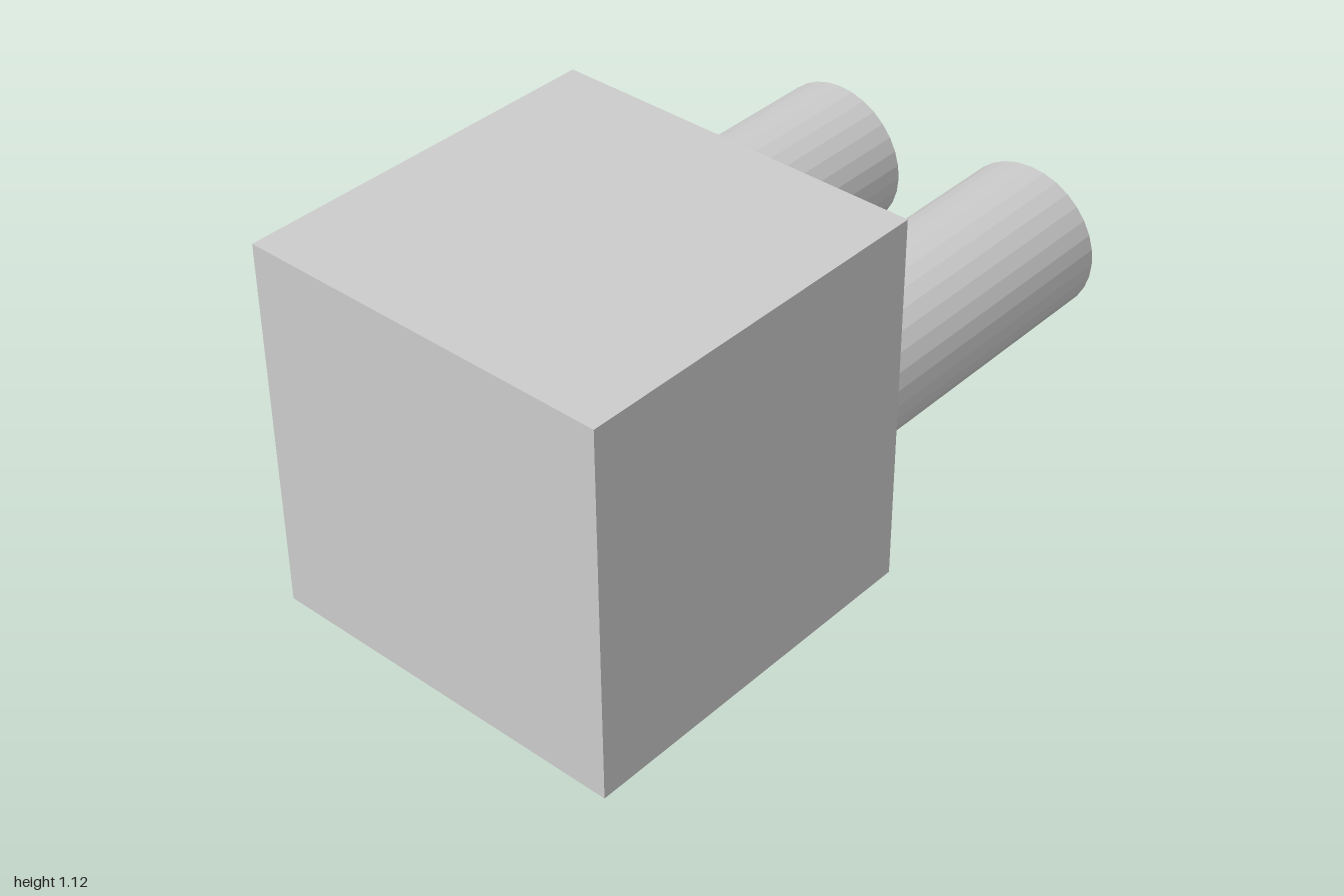
import * as THREE from 'three';

export function createModel() {
  const group = new THREE.Group();
  const material = new THREE.MeshStandardMaterial({ color: 0xcccccc, flatShading: true });

  // Cubic body, offset to the right
  const size = 1.123;
  const faceX = -1 + size;
  const body = new THREE.Mesh(new THREE.BoxGeometry(size, size, size), material);
  body.name = 'body';
  body.position.set(-1 + size / 2, size / 2, 0);
  group.add(body);

  // Two round pegs on the left face, flush with the front and back of the body
  const radius = 0.2246;
  const length = 1 - faceX;
  const pegGeometry = new THREE.CylinderGeometry(radius, radius, length, 32).rotateZ(-Math.PI / 2);
  for (const side of [1, -1]) {
    const peg = new THREE.Mesh(pegGeometry, material);
    peg.name = side > 0 ? 'frontPeg' : 'backPeg';
    peg.position.set(faceX + length / 2, 0.552, side * (size / 2 - radius));
    group.add(peg);
  }

  return group;
}
